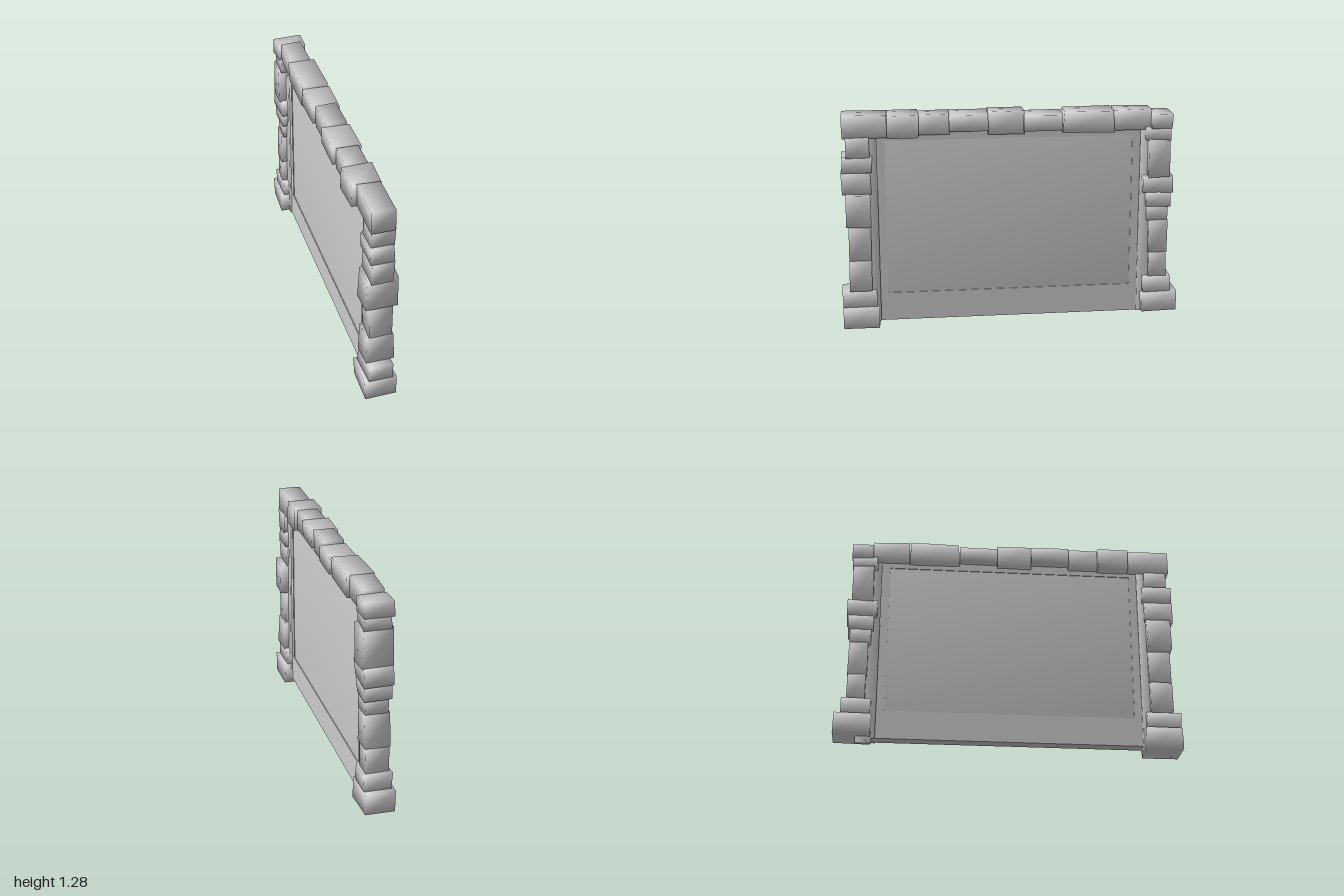
import * as THREE from 'three';
import { mergeVertices } from 'three/addons/utils/BufferGeometryUtils.js';

const material = new THREE.MeshStandardMaterial({ color: 0xcccccc });

// Small seeded generator for the irregular stone corners
let seed = 11;
function rand() {
  seed = (seed * 16807) % 2147483647;
  return seed / 2147483647;
}

// Box given by its limits; "rough" pulls each corner inwards a little
function block(name, [x0, x1], [y0, y1], [z0, z1], { rough = 0, smooth = true } = {}) {
  let geo = new THREE.BoxGeometry(x1 - x0, y1 - y0, z1 - z0);
  if (smooth) {
    geo.deleteAttribute('normal');
    geo.deleteAttribute('uv');
    geo = mergeVertices(geo);
    const p = geo.attributes.position;
    for (let i = 0; i < p.count; i++) {
      p.setXYZ(i,
        p.getX(i) * (1 - rough * rand()),
        p.getY(i) * (1 - rough * 0.4 * rand()),
        p.getZ(i) * (1 - rough * 0.5 * rand()));
    }
    geo.computeVertexNormals();
  }
  const mesh = new THREE.Mesh(geo, material);
  mesh.name = name;
  mesh.position.set((x0 + x1) / 2, (y0 + y1) / 2, (z0 + z1) / 2);
  return mesh;
}

// Stones as [x0, x1, y0, y1, z0, z1]
const frontPillar = [
  [-0.10, 0.09, 0, 0.13, 0.78, 1.0],
  [-0.08, 0.07, 0.12, 0.23, 0.79, 1.0],
  [-0.09, 0.09, 0.23, 0.42, 0.82, 0.955],
  [-0.07, 0.07, 0.41, 0.62, 0.82, 0.955],
  [-0.095, 0.10, 0.62, 0.82, 0.815, 0.965],
  [-0.07, 0.06, 0.81, 0.94, 0.81, 0.985],
  [-0.08, 0.065, 0.94, 1.04, 0.80, 0.98],
  [-0.07, 0.075, 1.03, 1.15, 0.815, 0.955],
];
const backPillar = [
  [-0.10, 0.09, 0.035, 0.16, -1.0, -0.775],
  [-0.09, 0.08, 0.15, 0.255, -0.96, -0.785],
  [-0.08, 0.07, 0.25, 0.41, -0.93, -0.82],
  [-0.08, 0.075, 0.40, 0.61, -0.93, -0.815],
  [-0.075, 0.075, 0.60, 0.70, -0.93, -0.80],
  [-0.085, 0.08, 0.69, 0.78, -0.945, -0.79],
  [-0.09, 0.085, 0.775, 0.88, -0.955, -0.77],
  [-0.10, 0.09, 0.87, 1.10, -0.93, -0.80],
  [-0.08, 0.08, 1.09, 1.17, -0.935, -0.78],
];
const lintel = [
  [-0.075, 0.065, 1.14, 1.28, 0.71, 0.975],
  [-0.105, 0.075, 1.14, 1.275, 0.53, 0.72],
  [-0.075, 0.06, 1.15, 1.275, 0.355, 0.54],
  [-0.095, 0.075, 1.17, 1.27, 0.13, 0.365],
  [-0.07, 0.06, 1.145, 1.285, -0.075, 0.14],
  [-0.085, 0.09, 1.165, 1.26, -0.30, -0.065],
  [-0.085, 0.08, 1.145, 1.275, -0.60, -0.295],
  [-0.075, 0.06, 1.15, 1.275, -0.82, -0.59],
  [-0.09, 0.09, 1.16, 1.25, -0.94, -0.81],
];

function stoneRow(name, stones) {
  const group = new THREE.Group();
  group.name = name;
  for (const [x0, x1, y0, y1, z0, z1] of stones) {
    group.add(block('stone', [x0, x1], [y0, y1], [z0, z1], { rough: 0.16 }));
  }
  return group;
}

export function createModel() {
  seed = 11;
  const model = new THREE.Group();
  model.name = 'stoneFramedPanel';

  // Stone surround
  model.add(stoneRow('frontPillar', frontPillar));
  model.add(stoneRow('backPillar', backPillar));
  model.add(stoneRow('lintel', lintel));

  // Flat inner frame: sill, head and two stiles around the pane
  const frame = new THREE.Group();
  frame.name = 'innerFrame';
  const thick = [-0.035, 0.035];
  const flat = { smooth: false };
  frame.add(block('sill', thick, [0.03, 0.2], [-0.78, 0.78], flat));
  frame.add(block('head', thick, [1.12, 1.2], [-0.78, 0.78], flat));
  frame.add(block('frontStile', thick, [0.2, 1.12], [0.73, 0.78], flat));
  frame.add(block('backStile', thick, [0.2, 1.12], [-0.78, -0.71], flat));
  model.add(frame);

  // Posts running up inside the pillars
  model.add(block('frontPost', [-0.045, 0.045], [0.03, 1.2], [0.775, 0.87]));
  model.add(block('backPost', [-0.045, 0.045], [0.03, 1.2], [-0.87, -0.757]));

  // Large pane, slightly recessed
  model.add(block('pane', [-0.03, 0.03], [0.19, 1.13], [-0.72, 0.74]));
  return model;
}
